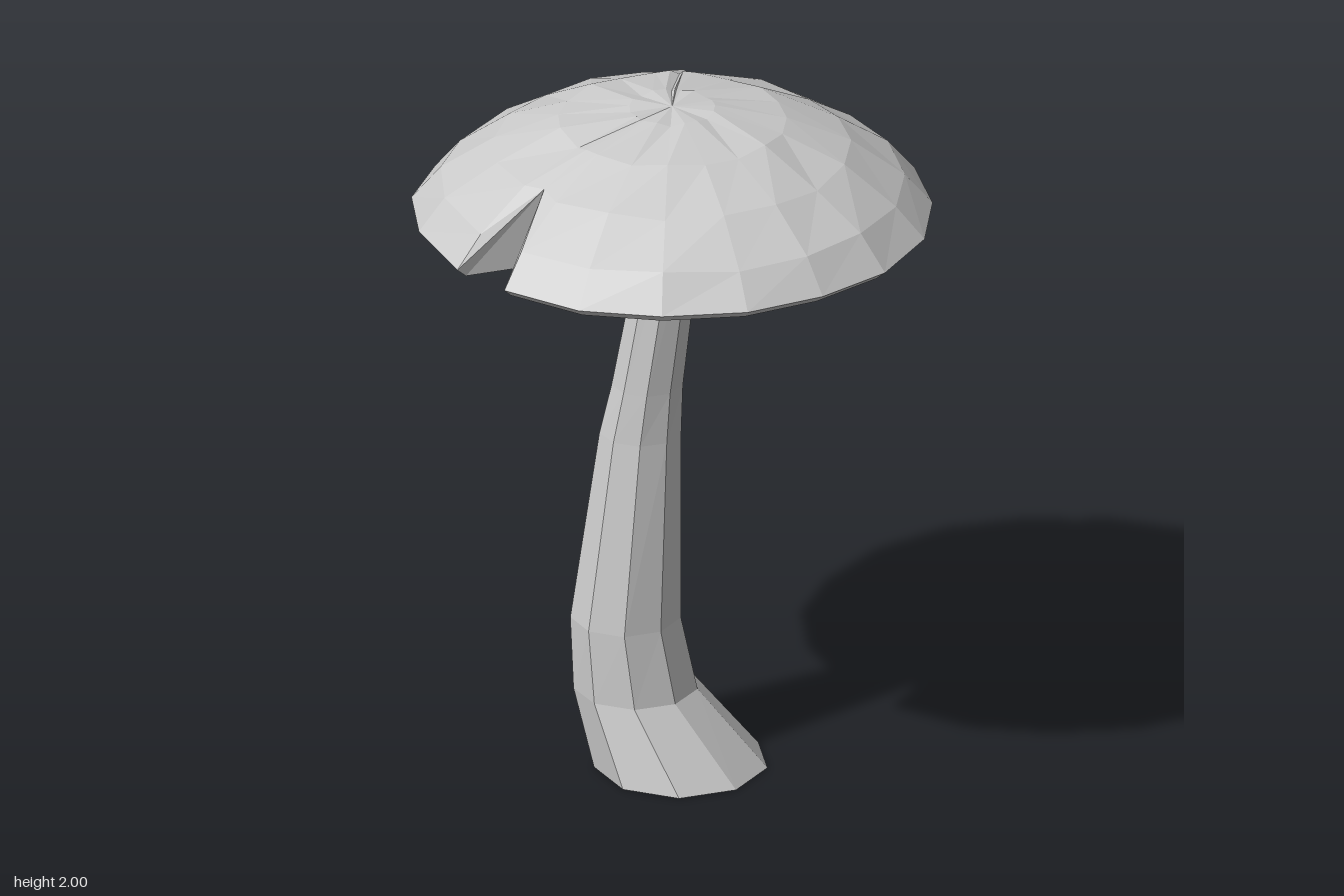
import * as THREE from 'three';

// Skin a stack of closed rings, listed from the bottom up
function loft(rings) {
  const pos = [];
  const tri = (a, b, c) => {
    const area = b.clone().sub(a).cross(c.clone().sub(a)).length();
    if (area > 1e-7) pos.push(...a, ...b, ...c);
  };
  for (let i = 0; i < rings.length - 1; i++) {
    const lo = rings[i], hi = rings[i + 1], n = lo.length;
    for (let j = 0; j < n; j++) {
      const k = (j + 1) % n;
      tri(lo[j], hi[j], lo[k]);
      tri(lo[k], hi[j], hi[k]);
    }
  }
  const g = new THREE.BufferGeometry();
  g.setAttribute('position', new THREE.Float32BufferAttribute(pos, 3));
  g.computeVertexNormals();
  return g;
}

// Cap outline as [x, z, isNotchTip]
const OUTLINE = [
  [0.73, 0.065], [0.665, 0.31], [0.525, 0.5], [0.34, 0.645], [0.11, 0.72], [-0.125, 0.725],
  [-0.355, 0.63], [-0.29, 0.38, 1], [-0.51, 0.52],
  [-0.665, 0.285], [-0.73, 0.06], [-0.705, -0.165], [-0.605, -0.405], [-0.45, -0.575],
  [-0.245, -0.685], [-0.15, -0.7], [-0.07, -0.54, 1], [-0.07, -0.715],
  [0, -0.73], [0.235, -0.695], [0.45, -0.56], [0.61, -0.405], [0.705, -0.18],
];

// Dome profile as [radius, height]
const DOME = [[0, 2], [0.12, 1.997], [0.32, 1.96], [0.5, 1.88], [0.65, 1.78], [0.73, 1.685]];

function domeHeight(r) {
  let i = 1;
  while (i < DOME.length - 1 && DOME[i][0] < r) i++;
  const [r0, y0] = DOME[i - 1], [r1, y1] = DOME[i];
  return y0 + (y1 - y0) * Math.min(1, (r - r0) / (r1 - r0));
}

function capGeometry() {
  const ring = (fn) => OUTLINE.map(([x, z, tip], j) => {
    const R = Math.hypot(x, z);
    const [r, y] = fn(R, tip, j);
    return new THREE.Vector3((x / R) * r, y, (z / R) * r);
  });
  const rings = [
    ring(() => [0, 1.68]),                               // underside centre
    ring((R, tip) => [tip ? R : R * 0.96, 1.66]),        // underside edge
    ring((R, tip) => [R, tip ? domeHeight(R) : 1.685]),  // rim
  ];
  // Dome rings stop short at the notch tips, with slight unevenness
  for (const radius of [0.65, 0.5, 0.32, 0.12]) {
    rings.push(ring((R, tip, j) => {
      const r = Math.min(radius, R);
      const bump = r < radius ? 0 : 0.006 * Math.sin(j * 2.3 + radius * 17);
      return [r, Math.min(2, domeHeight(r) + bump)];
    }));
  }
  rings.push(ring(() => [0, 2]));
  return loft(rings);
}

// Stem sections as [y, centre x, centre z, radius x, radius z]
const STEM = [
  [0, 0.027, 0.01, 0, 0],
  [0, 0.027, 0.01, 0.243, 0.252],
  [0.225, -0.102, 0.01, 0.174, 0.175],
  [0.44, -0.13, 0.01, 0.155, 0.163],
  [1.0, -0.09, 0.005, 0.115, 0.108],
  [1.15, -0.07, 0.005, 0.1, 0.1],
  [1.7, 0.012, 0.007, 0.08, 0.077],
  [1.7, 0.012, 0.007, 0, 0],
];

function stemGeometry(sides = 9) {
  return loft(STEM.map(([y, cx, cz, rx, rz]) =>
    Array.from({ length: sides }, (_, j) => {
      const a = (j / sides) * Math.PI * 2;
      // widen slightly so the odd-sided ring spans its full width
      return new THREE.Vector3(cx + rx * Math.cos(a) * 1.01, y, cz + rz * Math.sin(a) * 1.01);
    })));
}

export function createModel() {
  const group = new THREE.Group();
  group.name = 'mushroom';
  const material = new THREE.MeshStandardMaterial({ color: 0xcccccc, flatShading: true });
  const add = (name, geometry) => {
    const mesh = new THREE.Mesh(geometry, material);
    mesh.name = name;
    group.add(mesh);
  };
  add('cap', capGeometry());
  add('stem', stemGeometry());
  return group;
}
